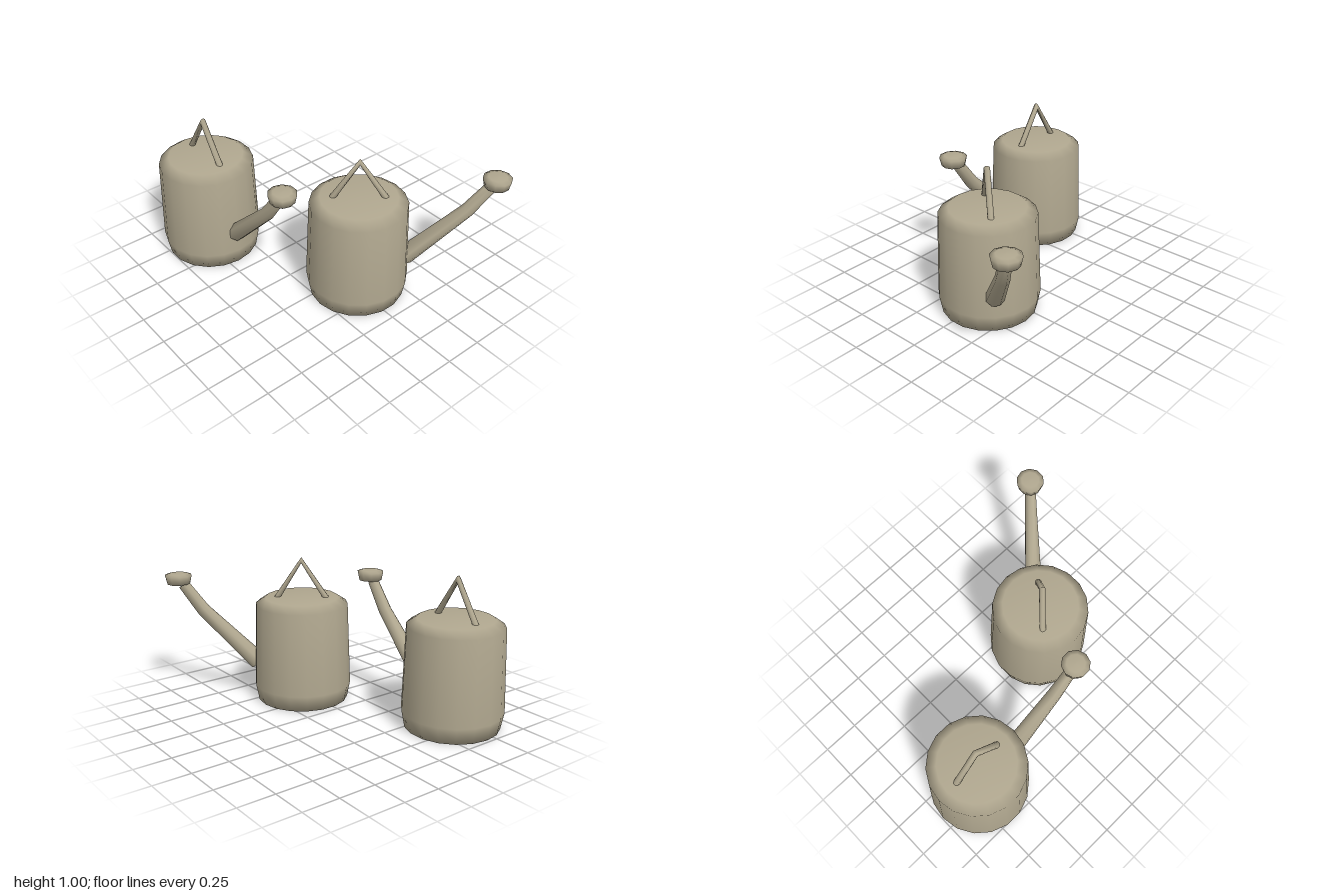
import * as THREE from 'three';

const metal = new THREE.MeshStandardMaterial({ color: 0xb0a78f });
metal.name = 'dull warm metal';

// Closed tube along a path in the xy plane; each point is [x, y, radius]
function taperedTube(path, sides) {
  const pos = [], index = [], n = path.length;
  path.forEach(([x, y, r], i) => {
    const a = path[Math.max(i - 1, 0)], b = path[Math.min(i + 1, n - 1)];
    const t = new THREE.Vector2(b[0] - a[0], b[1] - a[1]).normalize();
    for (let j = 0; j < sides; j++) {
      const ang = ((j + 0.5) / sides) * Math.PI * 2;
      const c = r * Math.cos(ang);
      pos.push(x - t.y * c, y + t.x * c, r * Math.sin(ang));
    }
  });
  for (let i = 0; i < n - 1; i++) {
    for (let j = 0; j < sides; j++) {
      const k = (j + 1) % sides, p = i * sides, q = p + sides;
      index.push(p + j, p + k, q + k, p + j, q + k, q + j);
    }
  }
  // End caps
  const e = (n - 1) * sides;
  for (let j = 1; j < sides - 1; j++) {
    index.push(0, j + 1, j, e, e + j, e + j + 1);
  }
  const g = new THREE.BufferGeometry();
  g.setAttribute('position', new THREE.Float32BufferAttribute(pos, 3));
  g.setIndex(index);
  g.computeVertexNormals();
  return g;
}

function turned(profile, sides) {
  const pts = profile.map(([r, y]) => new THREE.Vector2(r, y));
  return new THREE.LatheGeometry(pts, sides, Math.PI / 2);
}

function part(name, geometry) {
  const mesh = new THREE.Mesh(geometry, metal);
  mesh.name = name;
  return mesh;
}

function wateringCan(name) {
  const can = new THREE.Group();
  can.name = name;

  // Drum with a slightly flared base and chamfered shoulder
  can.add(part('body', turned([
    [0, 0], [0.315, 0], [0.336, 0.11], [0.317, 0.68], [0.25, 0.725], [0, 0.725],
  ], 18)));

  // Bent, narrowing spout
  can.add(part('spout', taperedTube([
    [0.31, 0.25, 0.063], [0.685, 0.622, 0.046], [0.815, 0.802, 0.038],
  ], 8)));

  // Sprinkler head on the spout tip
  const rose = part('sprinklerHead', turned([
    [0, 0.81], [0.08, 0.81], [0.093, 0.868], [0.06, 0.878], [0, 0.88],
  ], 10));
  rose.position.x = 0.85;
  can.add(rose);

  // Peaked carrying handle
  can.add(part('handle', taperedTube([
    [-0.18, 0.7, 0.021], [0, 0.98, 0.021], [0.18, 0.7, 0.021],
  ], 8)));
  return can;
}

export function createModel() {
  const model = new THREE.Group();
  model.name = 'wateringCans';

  const frontCan = wateringCan('frontWateringCan');
  frontCan.position.set(-0.664, 0, 0.435);

  const backCan = wateringCan('backWateringCan');
  backCan.position.set(0.357, 0, -0.035);
  backCan.rotation.y = THREE.MathUtils.degToRad(50);

  model.add(frontCan, backCan);
  return model;
}
